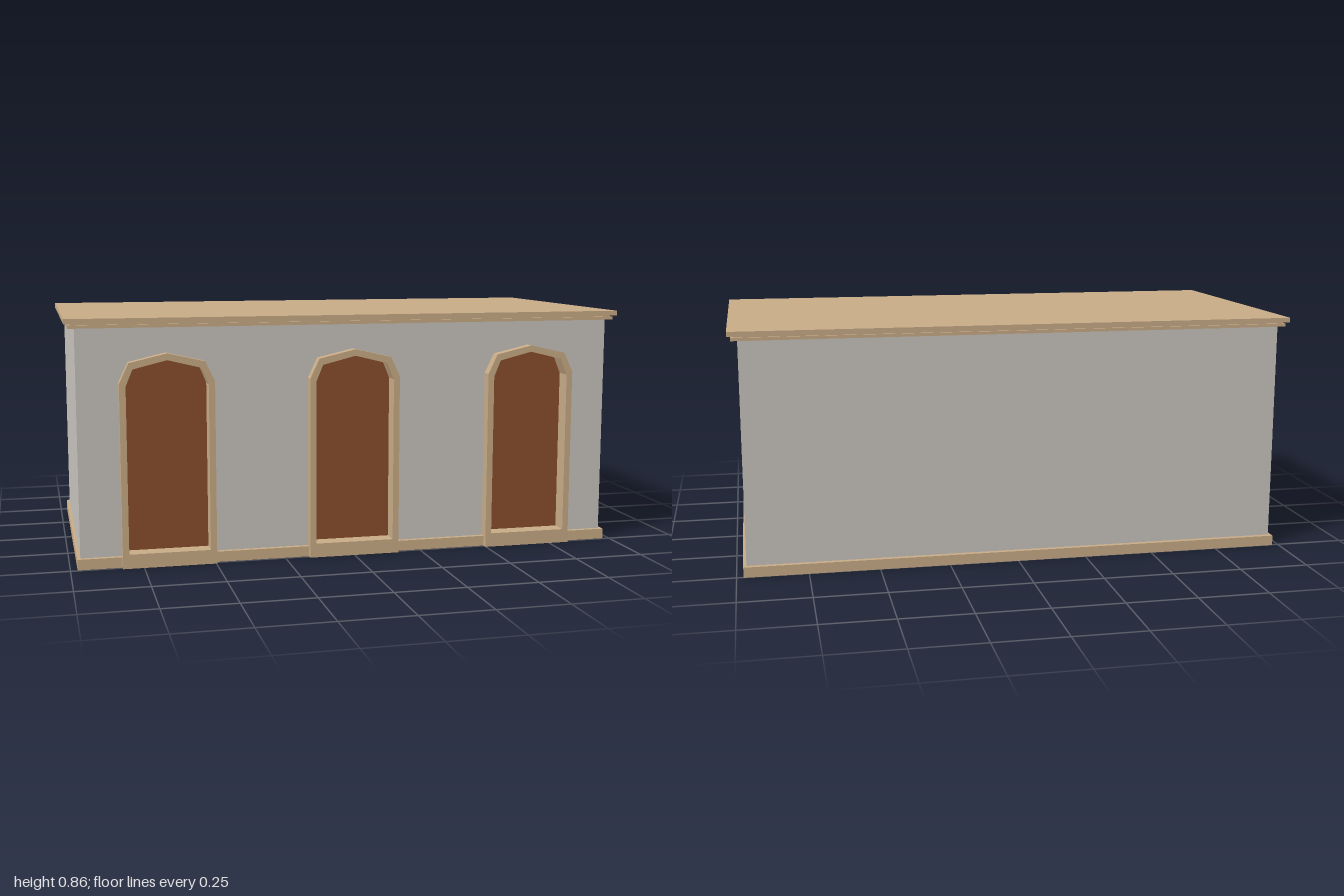
import * as THREE from 'three';

const flat = (name, color, side = THREE.FrontSide) => {
  const m = new THREE.MeshStandardMaterial({ color, side });
  m.name = name;
  return m;
};

export function createModel() {
  const model = new THREE.Group();
  model.name = 'arcadeBuilding';
  const plaster = flat('plaster', 0xc9c5c0, THREE.DoubleSide);
  const stone = flat('sandstone', 0xc9ac87);
  const wood = flat('wood', 0x8a4d2c);
  const iron = flat('darkIron', 0x4a3c32);

  const add = (parent, name, geometry, material, x = 0, y = 0, z = 0) => {
    const mesh = new THREE.Mesh(geometry, material);
    mesh.name = name;
    mesh.position.set(x, y, z);
    parent.add(mesh);
    return mesh;
  };
  // Box given by its limits on each axis
  const box = (parent, name, material, x0, x1, y0, y1, z0, z1) =>
    add(parent, name, new THREE.BoxGeometry(x1 - x0, y1 - y0, z1 - z0), material,
      (x0 + x1) / 2, (y0 + y1) / 2, (z0 + z1) / 2);

  // Arch outline from half of its profile, mirrored about x = cx
  const arch = (half, cx = 0) => [
    ...half.map(([x, y]) => new THREE.Vector2(cx + x, y)),
    ...half.slice(0, -1).reverse().map(([x, y]) => new THREE.Vector2(cx - x, y)),
  ];
  const outer = [[0.163, 0], [0.163, 0.64], [0.13, 0.71], [0, 0.74]];
  const inner = [[0.141, 0.05], [0.141, 0.63], [0.117, 0.688], [0, 0.717]];
  const rect = (x, z0, z1) => [[-x, z0], [x, z0], [x, z1], [-x, z1]].map(p => new THREE.Vector2(...p));
  const extrude = (shape, depth) => new THREE.ExtrudeGeometry(shape, { depth, bevelEnabled: false });

  const doorCentres = [-0.66, 0, 0.66];
  const wx = 0.965, wf = 0.477, wb = -0.487, wt = 0.83;

  // Thin shell walls, with openings at the front
  const front = new THREE.Shape([[-wx, 0], [wx, 0], [wx, wt], [-wx, wt]].map(p => new THREE.Vector2(...p)));
  for (const cx of doorCentres) {
    const opening = arch(outer, cx);
    opening.forEach(p => { p.y = Math.max(p.y, 0.002); });
    front.holes.push(new THREE.Path(opening));
  }
  add(model, 'frontWall', new THREE.ShapeGeometry(front), plaster, 0, 0, wf);
  add(model, 'backWall', new THREE.PlaneGeometry(2 * wx, wt), plaster, 0, wt / 2, wb).rotation.y = Math.PI;
  for (const s of [-1, 1]) {
    add(model, s > 0 ? 'leftWall' : 'rightWall', new THREE.PlaneGeometry(wf - wb, wt), plaster,
      s * wx, wt / 2, (wf + wb) / 2).rotation.y = s * Math.PI / 2;
  }

  // Plinth running around the foot of the walls
  const ring = new THREE.Shape(rect(0.976, -0.495, 0.505));
  ring.holes.push(new THREE.Path(rect(wx - 0.002, -wf + 0.002, -wb - 0.002)));
  add(model, 'plinth', extrude(ring, 0.037).rotateX(-Math.PI / 2), stone);

  // Stepped roof with a shadow groove
  box(model, 'cornice', stone, -0.988, 0.988, 0.827, 0.838, -0.505, 0.495);
  box(model, 'corniceGroove', stone, -0.978, 0.978, 0.838, 0.843, -0.497, 0.487);
  box(model, 'roofSlab', stone, -1, 1, 0.843, 0.86, -0.515, 0.505);

  // Arched doorways
  const archTop = x => {
    const a = Math.abs(x);
    return a < 0.117 ? 0.717 - a * 0.25 : 0.688 - (a - 0.117) * 2.4;
  };
  for (const cx of doorCentres) {
    const doorway = new THREE.Group();
    doorway.name = 'doorway';
    doorway.position.x = cx;
    model.add(doorway);

    const frame = new THREE.Shape(arch(outer));
    frame.holes.push(new THREE.Path(arch(inner)));
    add(doorway, 'doorFrame', extrude(frame, 0.12), stone, 0, 0, 0.396);
    add(doorway, 'doorPanel', extrude(new THREE.Shape(arch(inner)), 0.035), wood, 0, 0, 0.42);

    // Planks, rails and ironwork on the inner side
    for (let i = -2; i <= 2; i++) {
      const x = i * 0.054;
      const top = archTop(Math.abs(x) + 0.02) - 0.012;
      box(doorway, 'plank', wood, x - 0.021, x + 0.021, 0.06, top, 0.408, 0.422);
    }
    for (const y of [0.13, 0.36, 0.59]) {
      box(doorway, 'rail', wood, -0.135, 0.135, y - 0.018, y + 0.018, 0.395, 0.41);
    }
    box(doorway, 'handle', iron, 0.1, 0.112, 0.29, 0.34, 0.39, 0.409);
    box(doorway, 'innerSill', iron, -0.14, 0.14, 0.012, 0.048, 0.375, 0.397);
  }
  return model;
}
